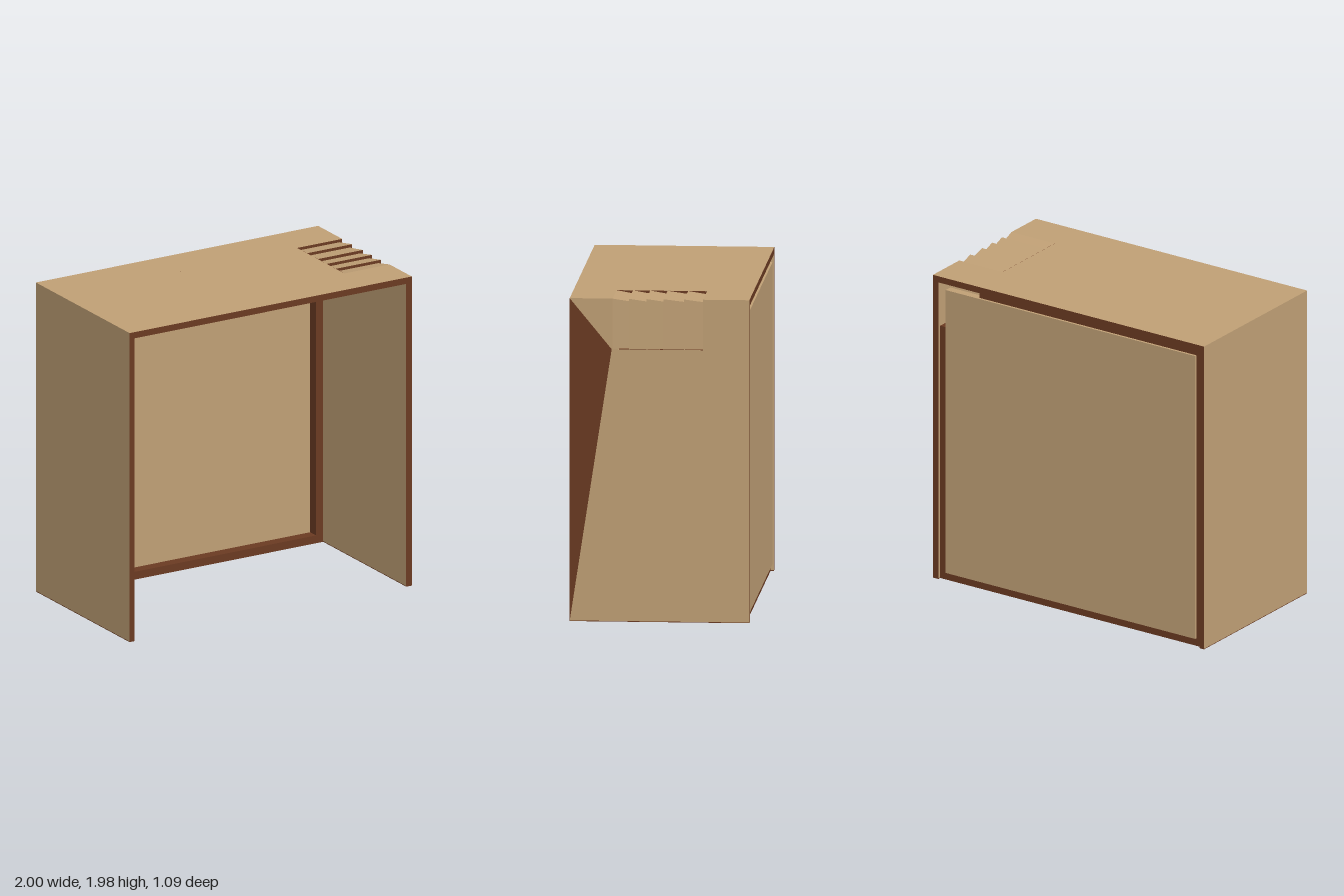
import * as THREE from 'three';

export function createModel() {
  const model = new THREE.Group();
  const tan = new THREE.MeshStandardMaterial({ color: 0xbf9f75 });
  tan.name = 'tanBoard';
  const brown = new THREE.MeshStandardMaterial({ color: 0x6a3a22 });
  brown.name = 'brownEdge';

  const add = (name, geometry, material) => {
    const mesh = new THREE.Mesh(geometry, material);
    mesh.name = name;
    model.add(mesh);
    return mesh;
  };

  // box given by its limits on each axis
  const box = (name, x0, x1, y0, y1, z0, z1, material) =>
    add(name, new THREE.BoxGeometry(x1 - x0, y1 - y0, z1 - z0), material)
      .position.set((x0 + x1) / 2, (y0 + y1) / 2, (z0 + z1) / 2);

  // cross-section in x-y run along z: brown ends, tan faces
  const section = (points, z0, z1) => {
    const shape = new THREE.Shape(points.map(([x, y]) => new THREE.Vector2(x, y)));
    const g = new THREE.ExtrudeGeometry(shape, { depth: z1 - z0, bevelEnabled: false });
    return g.translate(0, 0, z0);
  };
  const board = (name, points, z0, z1) => add(name, section(points, z0, z1), [brown, tan]);

  const H = 1.98, T = 1.94, L = -0.965, R = 0.96, F = 0.545, foot = 0.004;
  const ventX = 0.68, ventY = 1.67;
  const slatZ = [0.285, 0.185, 0.08, -0.025, -0.15, -0.265];
  const ventFront = slatZ[0], ventBack = slatZ[5];

  // shell: top and two side walls, with the vent corner left open
  const arch = [[-1, foot], [L, foot], [L, T], [R, T], [R, foot], [1, foot], [1, H], [-1, H]];
  board('frontShell', arch, ventFront, F);
  board('backShell', arch, -F, ventBack);
  board('middleShell', [[-1, foot], [L, foot], [L, T], [ventX, T], [ventX, H], [-1, H]], ventBack, ventFront);
  board('rightWallBelowVent', [[R, foot], [1, foot], [1, ventY], [R, ventY]], ventBack, ventFront);
  box('leftFootEdge', -1, L, 0, foot, -F, F, brown);
  box('rightFootEdge', R, 1, 0, foot, -F, F, brown);

  // louvre slats wrapping the corner, sinking towards the back
  const sink = 0.018;
  for (let i = 0; i < 5; i++) {
    const g = section([[ventX, T], [R, T], [R, ventY], [1, ventY], [1, H], [ventX, H]], slatZ[i + 1], slatZ[i]);
    const p = g.attributes.position;
    for (let k = 0; k < p.count; k++) {
      if (p.getZ(k) > slatZ[i + 1] + 0.01) continue;
      if (p.getX(k) > 0.99) p.setX(k, 1 - sink);
      if (p.getY(k) > 1.97) p.setY(k, H - sink);
    }
    g.computeVertexNormals();
    add('louvreSlat' + (i + 1), g, [brown, tan]);
  }

  // brown cut edges at the ends of the vent
  box('ventTopEdge', ventX - 0.002, ventX + 0.002, T + 0.002, H - 0.0005, ventBack, ventFront, brown);
  box('ventSideEdge', R + 0.002, 0.9995, ventY - 0.002, ventY + 0.002, ventBack, ventFront, brown);

  // painted triangle on the right wall
  const triangle = new THREE.BufferGeometry();
  triangle.setAttribute('position', new THREE.Float32BufferAttribute(
    [1.002, 0, F, 1.002, ventY, 0.29, 1.002, H, F], 3));
  triangle.computeVertexNormals();
  add('sideTriangle', triangle, brown);

  // back panel and its frame, open at the vent corner
  box('backPanel', -0.93, 0.91, 0.05, 1.9, -0.54, -0.49, tan);
  const fz = [-0.525, -0.42];
  box('frameBottom', L, R, 0, 0.05, ...fz, brown);
  box('frameLeft', L, -0.93, 0.05, T, ...fz, brown);
  box('frameRight', 0.91, R, 0.05, 1.65, ...fz, brown);
  box('frameTop', -0.93, 0.67, 1.9, T, ...fz, brown);

  // slim strip on the inside of the left wall
  box('innerStrip', L, L + 0.004, foot, T, 0.04, 0.14, tan);
  box('innerStripFoot', L, L + 0.004, 0, foot, 0.04, 0.14, brown);

  return model;
}
